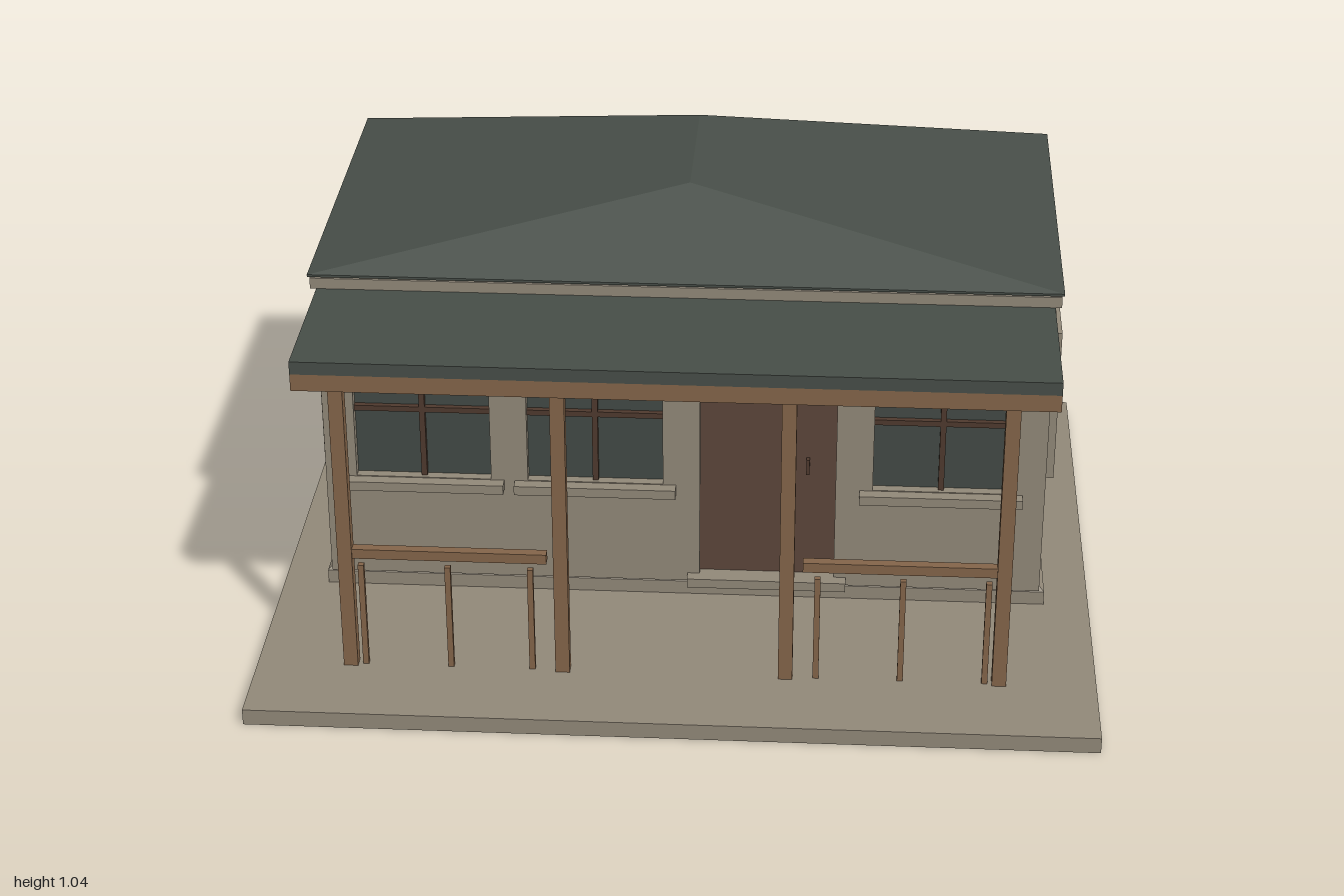
import * as THREE from 'three';

const mat = (name, color) => {
  const m = new THREE.MeshStandardMaterial({ color });
  m.name = name;
  return m;
};

export function createModel() {
  const root = new THREE.Group();
  root.name = 'house';
  const plaster = mat('plaster', 0x928979);
  const slate = mat('slate', 0x474e48);
  const glass = mat('glass', 0x434a46);
  const timber = mat('timber', 0x84654a);
  const doorWood = mat('door wood', 0x5c463b);
  const darkWood = mat('dark wood', 0x4f3a2e);

  const add = (name, geo, material, parent = root) => {
    const m = new THREE.Mesh(geo, material);
    m.name = name;
    parent.add(m);
    return m;
  };
  // Box given by its extents on each axis
  const box = (name, material, x0, x1, y0, y1, z0, z1, parent) => {
    const g = new THREE.BoxGeometry(x1 - x0, y1 - y0, z1 - z0);
    g.translate((x0 + x1) / 2, (y0 + y1) / 2, (z0 + z1) / 2);
    return add(name, g, material, parent);
  };
  // Box whose top rectangle is moved to new x and z extents
  const taper = (name, material, hx, y0, y1, z0, z1, topHx, topZ0, topZ1) => {
    const g = new THREE.BoxGeometry(2, 2, 2).toNonIndexed();
    const p = g.attributes.position;
    for (let i = 0; i < p.count; i++) {
      const top = p.getY(i) > 0, front = p.getZ(i) > 0;
      p.setXYZ(i, p.getX(i) * (top ? topHx : hx), top ? y1 : y0,
        top ? (front ? topZ1 : topZ0) : (front ? z1 : z0));
    }
    g.computeVertexNormals();
    return add(name, g, material);
  };
  const rect = (C, x0, x1, y0, y1) => new C()
    .moveTo(x0, y0).lineTo(x1, y0).lineTo(x1, y1).lineTo(x0, y1).closePath();
  const rectShape = (...r) => { const s = new THREE.Shape(); rectPath(s, ...r); return s; };
  const rectHole = (...r) => { const s = new THREE.Path(); rectPath(s, ...r); return s; };
  function rectPath(s, x0, x1, y0, y1) {
    s.moveTo(x0, y0); s.lineTo(x1, y0); s.lineTo(x1, y1); s.lineTo(x0, y1); s.closePath();
  }
  // Flat panel with rectangular openings
  const panel = (outer, holes, depth) => {
    const s = rectShape(...outer);
    s.holes = holes.map((h) => rectHole(...h));
    return new THREE.ExtrudeGeometry(s, { depth, bevelEnabled: false });
  };

  // Ground slab, plinth and walls
  box('baseSlab', plaster, -1, 1, 0, 0.04, -0.82, 0.82);
  box('plinth', plaster, -0.89, 0.89, 0.04, 0.075, -0.7, 0.243);
  taper('plinthChamfer', plaster, 0.89, 0.075, 0.088, -0.7, 0.243, 0.877, -0.685, 0.232);
  box('walls', plaster, -0.876, 0.876, 0.08, 0.865, -0.682, 0.23);

  // Front wall with openings for the windows and door
  const windows = [[-0.8, -0.47], [-0.38, -0.05], [0.46, 0.79]];
  const door = [0.04, 0.37, 0.11, 0.75];
  add('frontWall', panel([-0.876, 0.876, 0.088, 0.856],
    [...windows.map(([a, b]) => [a, b, 0.36, 0.69]), door], 0.03), plaster)
    .position.z = 0.23;

  // Front windows
  windows.forEach(([a, b]) => {
    const w = new THREE.Group();
    w.name = 'frontWindow';
    root.add(w);
    const c = (a + b) / 2;
    box('pane', glass, a, b, 0.36, 0.69, 0.229, 0.236, w);
    box('verticalBar', darkWood, c - 0.007, c + 0.007, 0.36, 0.69, 0.236, 0.25, w);
    box('horizontalBar', darkWood, a, b, 0.535, 0.549, 0.236, 0.25, w);
    box('sill', plaster, a - 0.032, b + 0.032, 0.334, 0.358, 0.26, 0.29, w);
  });

  // Door with handle and step
  box('door', doorWood, ...door, 0.229, 0.24);
  box('doorHandle', darkWood, 0.298, 0.306, 0.395, 0.435, 0.24, 0.255);
  box('doorStep', plaster, 0.01, 0.4, 0.086, 0.11, 0.26, 0.29);

  // Framed windows on both side walls
  for (const side of [1, -1]) {
    for (const z of [-0.008, -0.449]) {
      const w = new THREE.Group();
      w.name = side > 0 ? 'leftWindow' : 'rightWindow';
      w.position.set(side * 0.875, 0, z);
      w.rotation.y = side * Math.PI / 2;
      root.add(w);
      add('frame', panel([-0.123, 0.123, 0.327, 0.726], [[-0.099, 0.099, 0.35, 0.706]], 0.03), plaster, w);
      box('verticalBar', darkWood, -0.007, 0.007, 0.35, 0.706, 0, 0.014, w);
      box('horizontalBar', darkWood, -0.099, 0.099, 0.541, 0.555, 0, 0.014, w);
    }
  }

  // Cornice and hipped roof with its ridge running front to back
  box('cornice', plaster, -0.89, 0.89, 0.858, 0.885, -0.7, 0.243);
  taper('corniceChamfer', plaster, 0.89, 0.885, 0.892, -0.7, 0.243, 0.88, -0.69, 0.233);
  box('eaves', slate, -0.895, 0.895, 0.89, 0.896, -0.703, 0.247);
  taper('hippedRoof', slate, 0.895, 0.896, 1.04, -0.703, 0.247, 0.0005, -0.437, -0.018);

  // Porch roof, beam and posts
  box('porchRoof', slate, -0.875, 0.875, 0.826, 0.858, 0.23, 0.622);
  box('porchBeam', timber, -0.875, 0.875, 0.784, 0.826, 0.574, 0.622);
  for (const x of [-0.775, -0.267, 0.263, 0.769]) {
    box('porchPost', timber, x - 0.017, x + 0.017, 0.04, 0.784, 0.584, 0.616);
  }

  // Railings on each side of the entrance
  for (const [a, b, xs] of [[-0.775, -0.3, [-0.74, -0.535, -0.34]], [0.3, 0.769, [0.335, 0.535, 0.735]]]) {
    box('rail', timber, a, b, 0.336, 0.361, 0.588, 0.612);
    for (const x of xs) box('baluster', timber, x - 0.007, x + 0.007, 0.04, 0.315, 0.593, 0.607);
  }

  return root;
}
